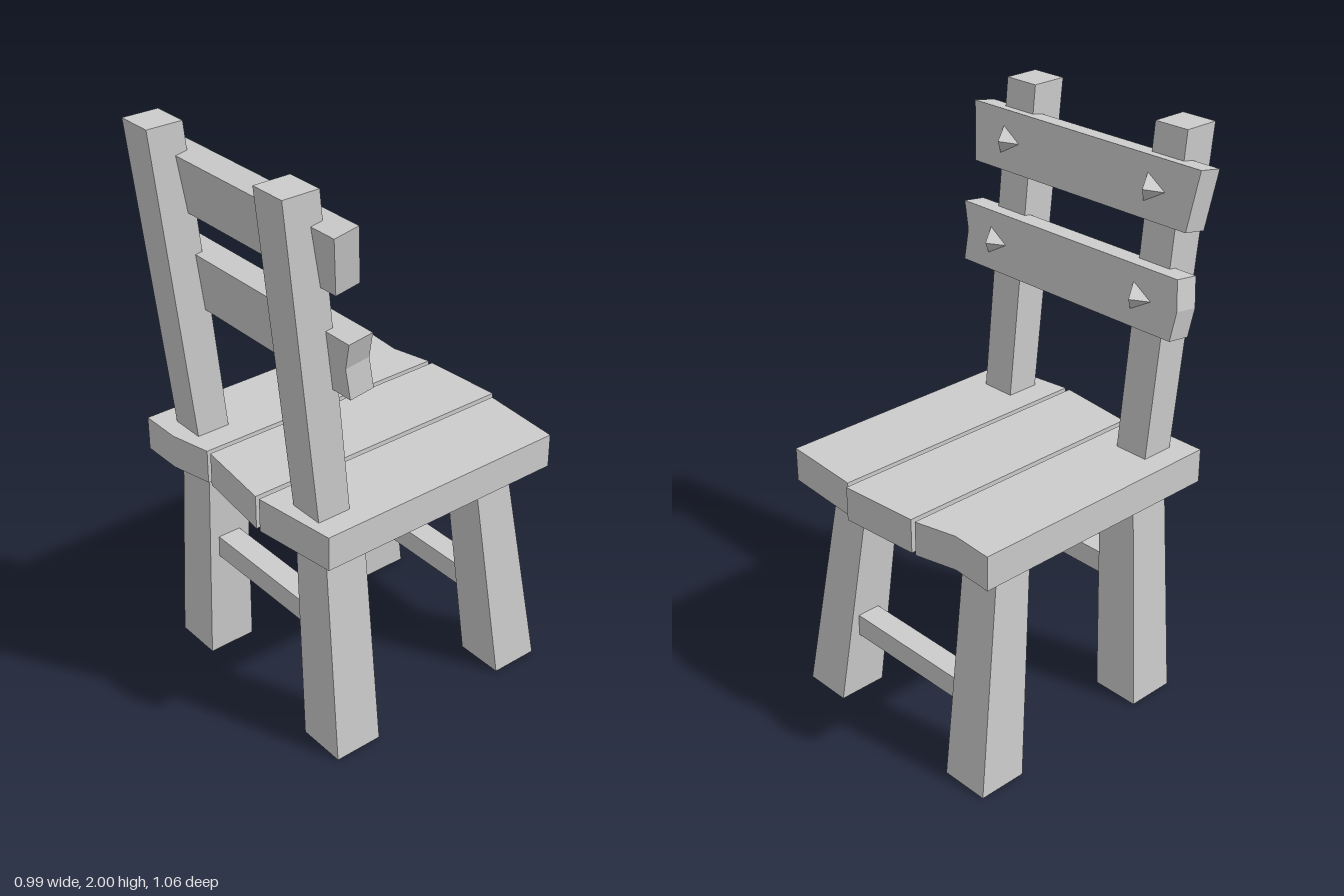
import * as THREE from 'three';

const material = new THREE.MeshStandardMaterial({ color: 0xcccccc, flatShading: true, roughness: 0.9 });

function addMesh(parent, name, geometry) {
  const mesh = new THREE.Mesh(geometry, material);
  mesh.name = name;
  parent.add(mesh);
  return mesh;
}

// Slanted beam between two rectangles, each given as [x0, x1, z0, z1]
function beam(y0, bottom, y1, top) {
  const geometry = new THREE.BoxGeometry(1, 1, 1);
  const p = geometry.attributes.position;
  for (let i = 0; i < p.count; i++) {
    const upper = p.getY(i) > 0;
    const r = upper ? top : bottom;
    p.setXYZ(i, p.getX(i) > 0 ? r[1] : r[0], upper ? y1 : y0, p.getZ(i) > 0 ? r[3] : r[2]);
  }
  geometry.computeVertexNormals();
  return geometry;
}

function extrude(points, depth) {
  const shape = new THREE.Shape(points.map(([x, y]) => new THREE.Vector2(x, y)));
  return new THREE.ExtrudeGeometry(shape, { depth, bevelEnabled: false });
}

// Mirror a rectangle to the given side
const onSide = (s, [a, b, c, d]) => (s > 0 ? [a, b, c, d] : [-b, -a, c, d]);

export function createModel() {
  const chair = new THREE.Group();
  chair.name = 'chair';

  // Legs and back posts, mirrored left and right
  for (const [s, side] of [[1, 'Left'], [-1, 'Right']]) {
    addMesh(chair, 'rearLeg' + side, beam(
      0, onSide(s, [0.27, 0.445, 0.215, 0.39]), 0.795, onSide(s, [0.235, 0.385, 0.235, 0.388])));
    addMesh(chair, 'frontLeg' + side, beam(
      0, onSide(s, [0.27, 0.445, -0.495, -0.32]), 0.795, onSide(s, [0.235, 0.385, -0.375, -0.235])));
    addMesh(chair, 'backPost' + side, beam(
      0.915, onSide(s, [0.255, 0.38, 0.29, 0.41]), 2, onSide(s, [0.26, 0.39, 0.403, 0.53])));
  }

  // Stretchers between the legs
  addMesh(chair, 'rearStretcher', new THREE.BoxGeometry(0.56, 0.08, 0.085)).position.set(0, 0.453, 0.31);
  addMesh(chair, 'frontStretcher', new THREE.BoxGeometry(0.56, 0.08, 0.085)).position.set(0, 0.28, -0.377);

  // Rough-sawn seat planks, outlines as [x, z]
  const planks = {
    seatPlankRight: [[-0.46, -0.485], [-0.31, -0.475], [-0.163, -0.51], [-0.163, 0.44], [-0.31, 0.473], [-0.46, 0.473]],
    seatPlankMiddle: [[-0.145, -0.51], [0.145, -0.53], [0.145, 0.473], [-0.145, 0.44]],
    seatPlankLeft: [[0.163, -0.51], [0.46, -0.49], [0.46, 0.435], [0.163, 0.473]],
  };
  for (const [name, outline] of Object.entries(planks)) {
    const geometry = extrude(outline, 0.12).rotateX(Math.PI / 2);
    addMesh(chair, name, geometry).position.y = 0.915;
  }

  // Tilted back slats with three-sided pegs
  const depth = 0.087;
  const slats = [
    { name: 'upperSlat', y: 1.808, z: 0.375, tilt: 0.17, pegs: [-0.32, 0.315],
      outline: [[-0.475, -0.098], [0.455, -0.098], [0.49, 0.098], [-0.495, 0.098]] },
    { name: 'lowerSlat', y: 1.467, z: 0.327, tilt: 0.13, pegs: [-0.325, 0.325],
      outline: [[-0.472, -0.1], [0.465, -0.1], [0.46, 0.005], [0.49, 0.1], [-0.47, 0.1], [-0.485, 0]] },
  ];
  for (const { name, y, z, tilt, pegs, outline } of slats) {
    const slat = new THREE.Group();
    slat.name = name;
    slat.position.set(0, y, z);
    slat.rotation.x = tilt;
    addMesh(slat, name + 'Board', extrude(outline, depth).translate(0, 0, -depth / 2));
    for (const x of pegs) {
      const peg = new THREE.ConeGeometry(0.052, 0.045, 3).rotateY(-Math.PI / 2).rotateX(-Math.PI / 2);
      addMesh(slat, name + 'Peg', peg).position.set(x, 0, -depth / 2 - 0.0225);
    }
    chair.add(slat);
  }
  return chair;
}
